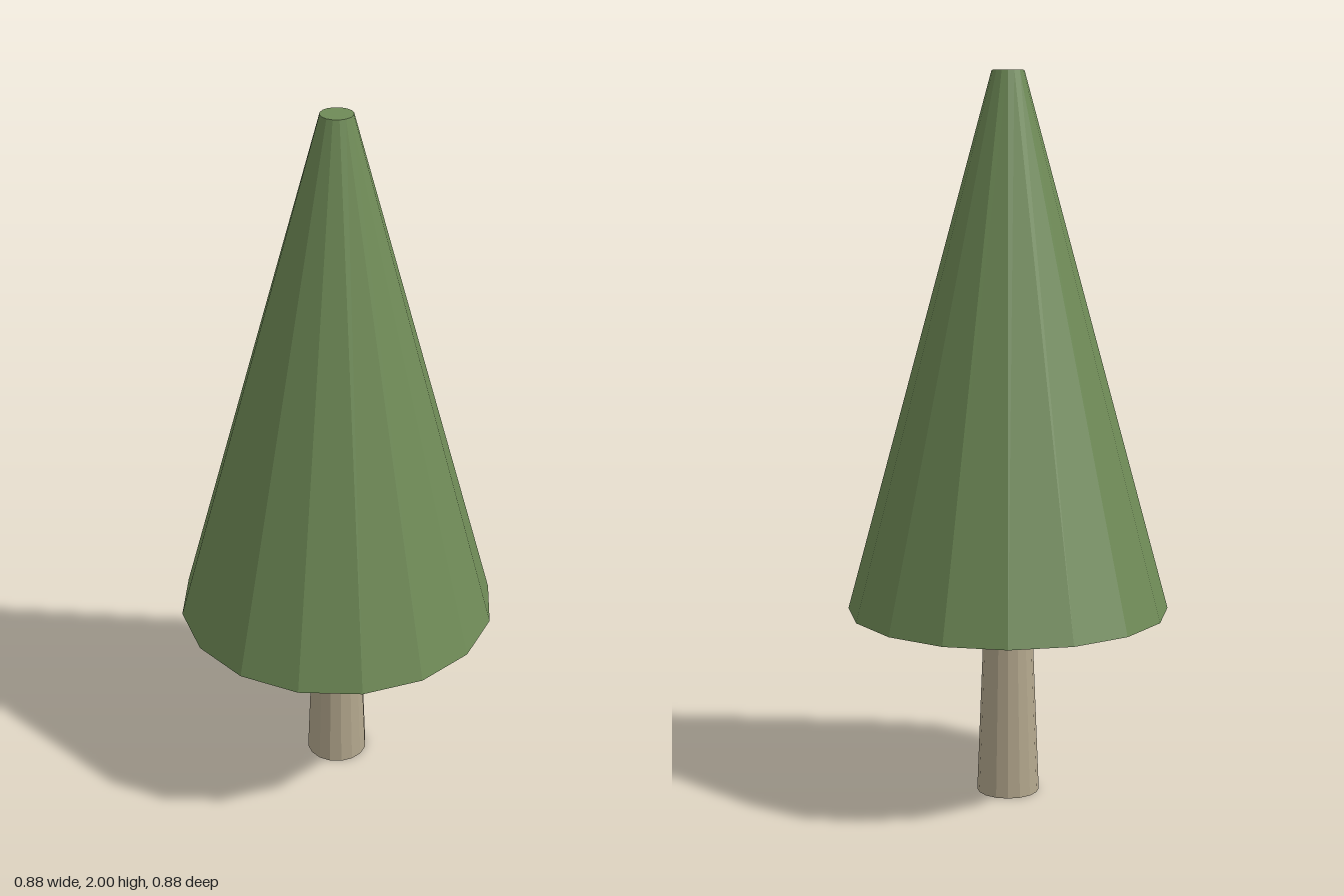
import * as THREE from 'three';

const SIDES = 16;
const START = THREE.MathUtils.degToRad(12.3); // slight twist of the facets

const flat = (name, color) => {
  const m = new THREE.MeshStandardMaterial({ color, flatShading: true });
  m.name = name;
  return m;
};

export function createModel() {
  const green = flat('needleGreen', 0x6f8b57);
  const bark = flat('barkBeige', 0xb4a88e);
  const grey = flat('undersideGrey', 0xcccccc);

  // Tapered cylinder standing from y0 to y1; materials are side, top, bottom
  const taper = (name, rTop, rBottom, y0, y1, materials) => {
    const geometry = new THREE.CylinderGeometry(rTop, rBottom, y1 - y0, SIDES, 1, false, START);
    const mesh = new THREE.Mesh(geometry, materials);
    mesh.name = name;
    mesh.position.y = (y0 + y1) / 2;
    return mesh;
  };

  const tree = new THREE.Group();
  tree.name = 'tree';
  tree.add(
    // Trunk, narrowing up to the foliage
    taper('trunk', 0.066, 0.087, 0, 0.525, bark),
    // Foliage cone with a blunt tip and a grey underside
    taper('foliage', 0.044, 0.445, 0.525, 2, [green, green, grey]),
  );
  return tree;
}
